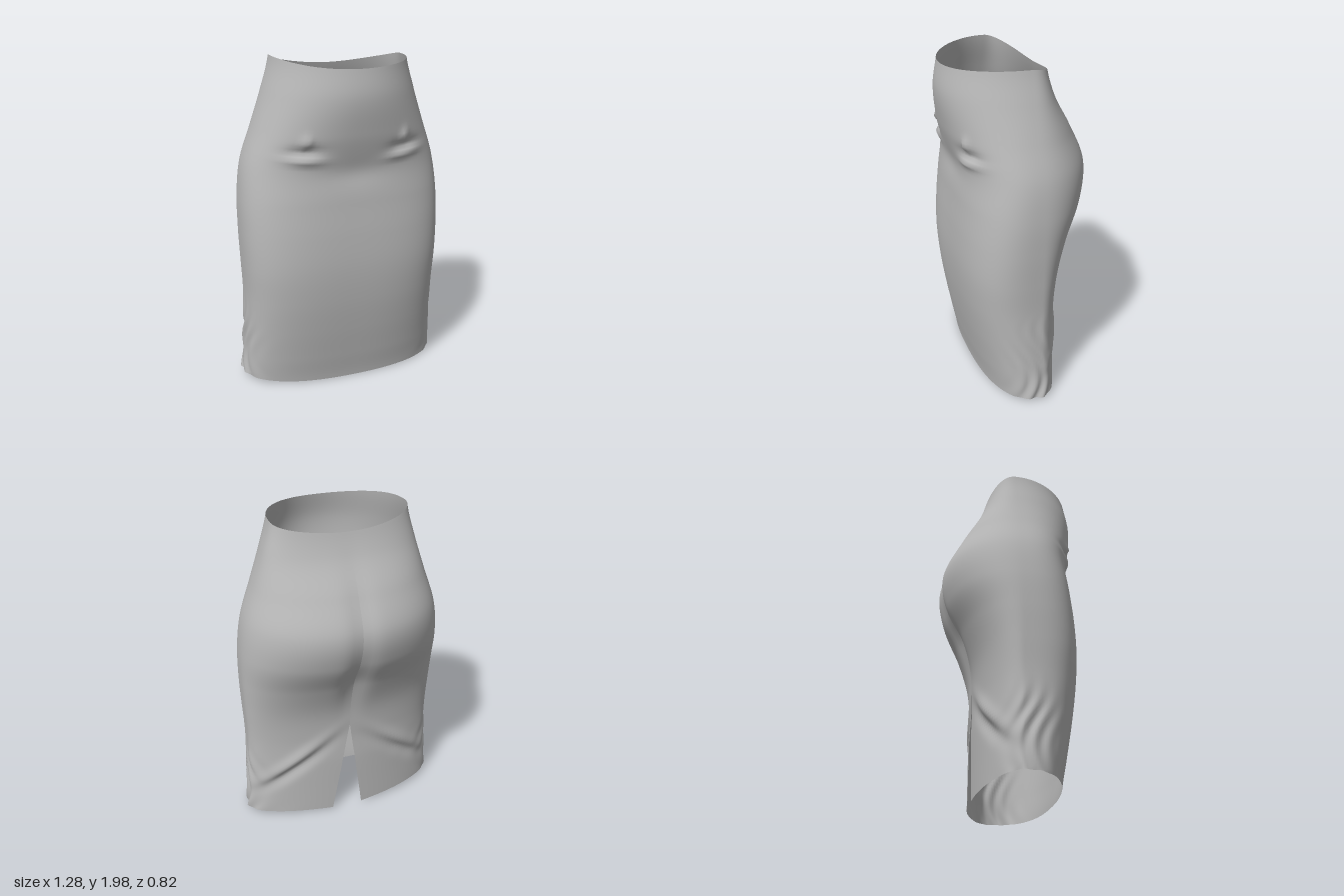
import * as THREE from 'three';

// Profiles sampled every 0.2 in height, from hem (0) to waist (2)
const profile = (values) => {
  const curve = new THREE.SplineCurve(values.map((v, i) => new THREE.Vector2(i, v)));
  return (y) => curve.getPoint(THREE.MathUtils.clamp(y / 2, 0, 1)).y;
};
const halfWidth = profile([0.638, 0.622, 0.61, 0.604, 0.61, 0.615, 0.61, 0.582, 0.515, 0.45, 0.397]);
const frontZ = profile([0.265, 0.3, 0.335, 0.362, 0.375, 0.37, 0.355, 0.345, 0.388, 0.412, 0.385]);
const backZ = profile([0.205, 0.205, 0.205, 0.2, 0.22, 0.29, 0.388, 0.415, 0.325, 0.205, 0.145]);
const frontPower = profile([2.5, 2.7, 2.9, 3.1, 3.2, 3.1, 2.9, 2.6, 2.3, 2.1, 2.1]);
const backPower = profile([1.9, 1.9, 1.9, 2, 2.1, 2.1, 2.1, 2.1, 2.2, 2.5, 2.7]);

const bump = (d, size) => Math.exp(-((d / size) ** 2));
const SLIT_TOP = 0.67;

// Point on the cloth: t is the angle from the front (+x positive), v runs up
function clothPoint(t, v) {
  const s = Math.sin(t), c = Math.cos(t);
  const hem = c > 0 ? 0.02 + 0.028 * s * s : 0.002 + 0.046 * Math.sqrt(Math.abs(s));
  const rim = (c > 0 ? 1.957 : 1.92) + (c > 0 ? 0.031 : 0.068) * s * s - 0.012 * s * s * s;
  const y = THREE.MathUtils.lerp(hem - 0.012 * s * Math.abs(s) * (c > 0 ? 1 : Math.abs(s)), rim, v);
  const n = c > 0 ? frontPower(y) : backPower(y);
  const r = (Math.abs(s) ** n + Math.abs(c) ** n) ** (-1 / n);
  let x = halfWidth(y) * r * s;
  let z = (c > 0 ? frontZ(y) : backZ(y)) * r * c;
  const ax = Math.abs(x);

  if (c > 0) {
    // Pulled creases below the hips and a shallow hollow under the belly
    z += 0.022 * bump(ax - 0.3, 0.1) * bump(y - 1.46 - 0.1 * (ax - 0.3), 0.022);
    z -= 0.022 * bump(ax - 0.3, 0.09) * bump(y - 1.51, 0.03);
    z += 0.02 * bump(ax - 0.25 - 0.04, 0.025) * bump(y - 1.56, 0.04);
    z -= 0.01 * bump(x, 0.2) * bump(y - 1.37, 0.07);
  } else {
    // Centre back groove and the diagonal drag folds beside the slit
    z += (0.018 * bump(y - 1.45, 0.25) + 0.035 * bump(y - 1.05, 0.22)) * bump(x, 0.07);
    const fold = y - (0.62 - 0.75 * (ax - 0.12));
    const reach = bump(ax - 0.36, 0.2);
    z += reach * (0.022 * bump(fold + 0.07, 0.05) - 0.02 * bump(fold, 0.05));
  }

  // Vertical rumples down both side seams
  const low = THREE.MathUtils.smoothstep(0.62 - y, 0, 0.3);
  x += Math.sign(x) * 0.008 * low * bump(z - 0.03, 0.12) * Math.sin(z * 75 + 5 * Math.sin(y * 9));
  return [x, y, z];
}

// Open sheet wrapped around the body, its two ends meeting at the centre back
function makeCloth(columns, rows) {
  const position = [], index = [];
  for (let j = 0; j <= rows; j++) {
    const v = j / rows, y = v * 1.92;
    const open = Math.max(0, 1 - y / SLIT_TOP) / halfWidth(y);
    const start = -Math.PI + 0.085 * open, end = Math.PI - 0.115 * open;
    for (let i = 0; i <= columns; i++) {
      position.push(...clothPoint(THREE.MathUtils.lerp(start, end, i / columns), v));
    }
  }
  for (let j = 0; j < rows; j++) {
    for (let i = 0; i < columns; i++) {
      const a = j * (columns + 1) + i, b = a + columns + 1;
      index.push(a, a + 1, b + 1, a, b + 1, b);
    }
  }
  const geometry = new THREE.BufferGeometry();
  geometry.setAttribute('position', new THREE.Float32BufferAttribute(position, 3));
  geometry.setIndex(index);
  geometry.computeVertexNormals();
  return geometry;
}

export function createModel() {
  const greyCloth = new THREE.MeshStandardMaterial({ color: 0xb8b8b8, side: THREE.DoubleSide });
  greyCloth.name = 'greyCloth';

  const skirt = new THREE.Mesh(makeCloth(128, 96), greyCloth);
  skirt.name = 'skirt';

  const model = new THREE.Group();
  model.name = 'pencilSkirt';
  model.add(skirt);
  return model;
}
